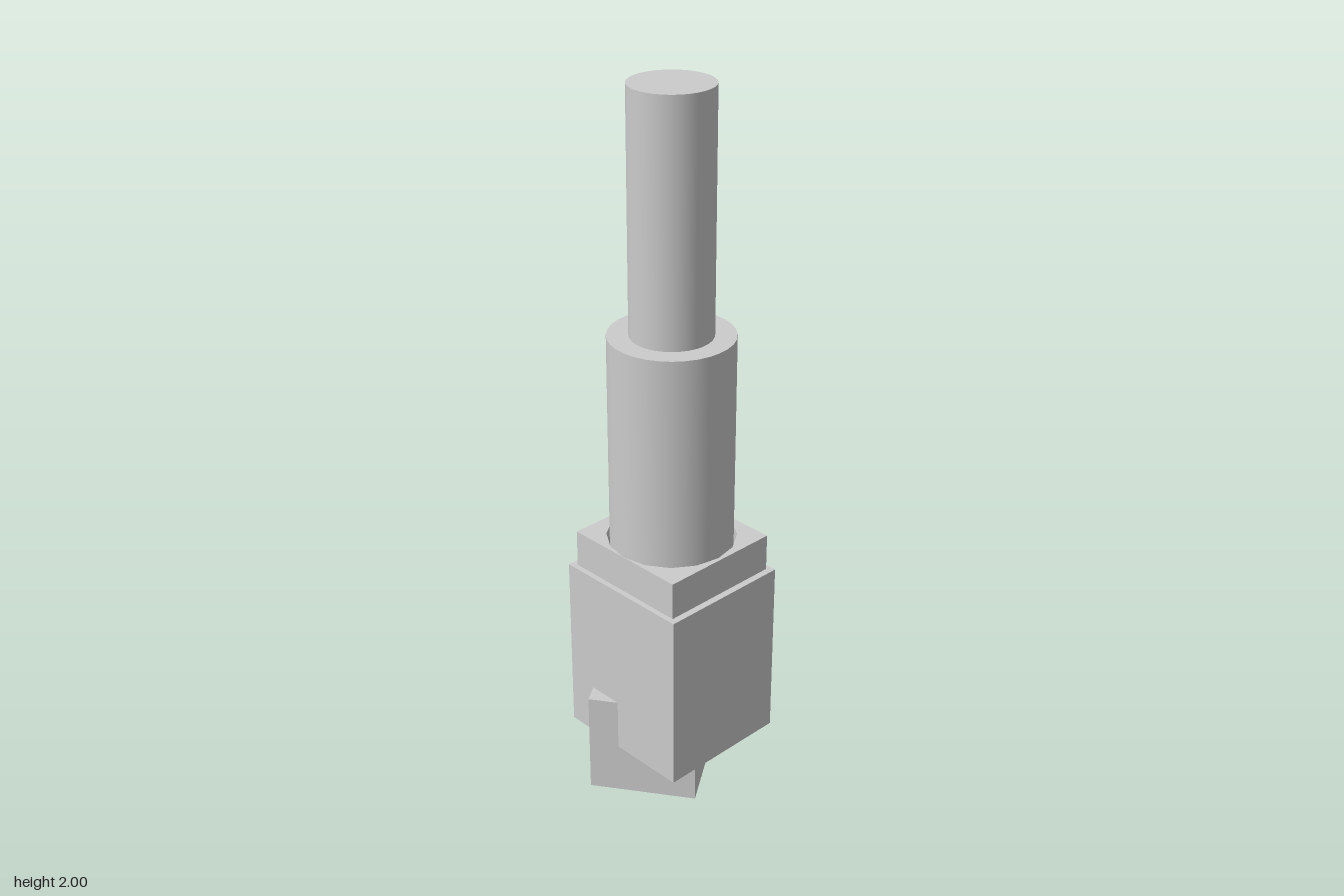
import * as THREE from 'three';

const material = new THREE.MeshStandardMaterial({ color: 0xcccccc });

export function createModel() {
  const model = new THREE.Group();

  function add(parent, name, geometry, x = 0, y = 0, z = 0) {
    const mesh = new THREE.Mesh(geometry, material);
    mesh.name = name;
    mesh.position.set(x, y, z);
    parent.add(mesh);
  }

  // Upright rectangular block with a 16-sided bore
  function boredBlock(w, d, h, bore) {
    const shape = new THREE.Shape([
      new THREE.Vector2(-w / 2, -d / 2), new THREE.Vector2(w / 2, -d / 2),
      new THREE.Vector2(w / 2, d / 2), new THREE.Vector2(-w / 2, d / 2),
    ]);
    const hole = [];
    for (let i = 0; i < 16; i++) {
      const a = -i * Math.PI / 8;
      hole.push(new THREE.Vector2(bore * Math.cos(a), bore * Math.sin(a)));
    }
    shape.holes.push(new THREE.Path(hole));
    return new THREE.ExtrudeGeometry(shape, { depth: h, bevelEnabled: false }).rotateX(-Math.PI / 2);
  }

  // Turned housing: closed floor, bored body and a slightly smaller collar
  const housing = new THREE.Group();
  housing.name = 'housing';
  housing.rotation.y = -THREE.MathUtils.degToRad(34.5);
  model.add(housing);
  add(housing, 'housingFloor', new THREE.BoxGeometry(0.41, 0.1, 0.384), 0, 0.2);
  add(housing, 'housingBody', boredBlock(0.41, 0.384, 0.415, 0.176), 0, 0.25);
  add(housing, 'housingCollar', boredBlock(0.372, 0.353, 0.105, 0.176), 0, 0.665);

  // Offset foot block pushed into the housing
  add(model, 'footBlock', new THREE.BoxGeometry(0.302, 0.3, 0.3), -0.054, 0.15, -0.001);

  // Stepped round shaft
  add(model, 'sleeve', new THREE.CylinderGeometry(0.167, 0.167, 1.055, 32), 0, 0.8275);
  add(model, 'shaft', new THREE.CylinderGeometry(0.11, 0.11, 0.65, 32), 0, 1.675);

  return model;
}
